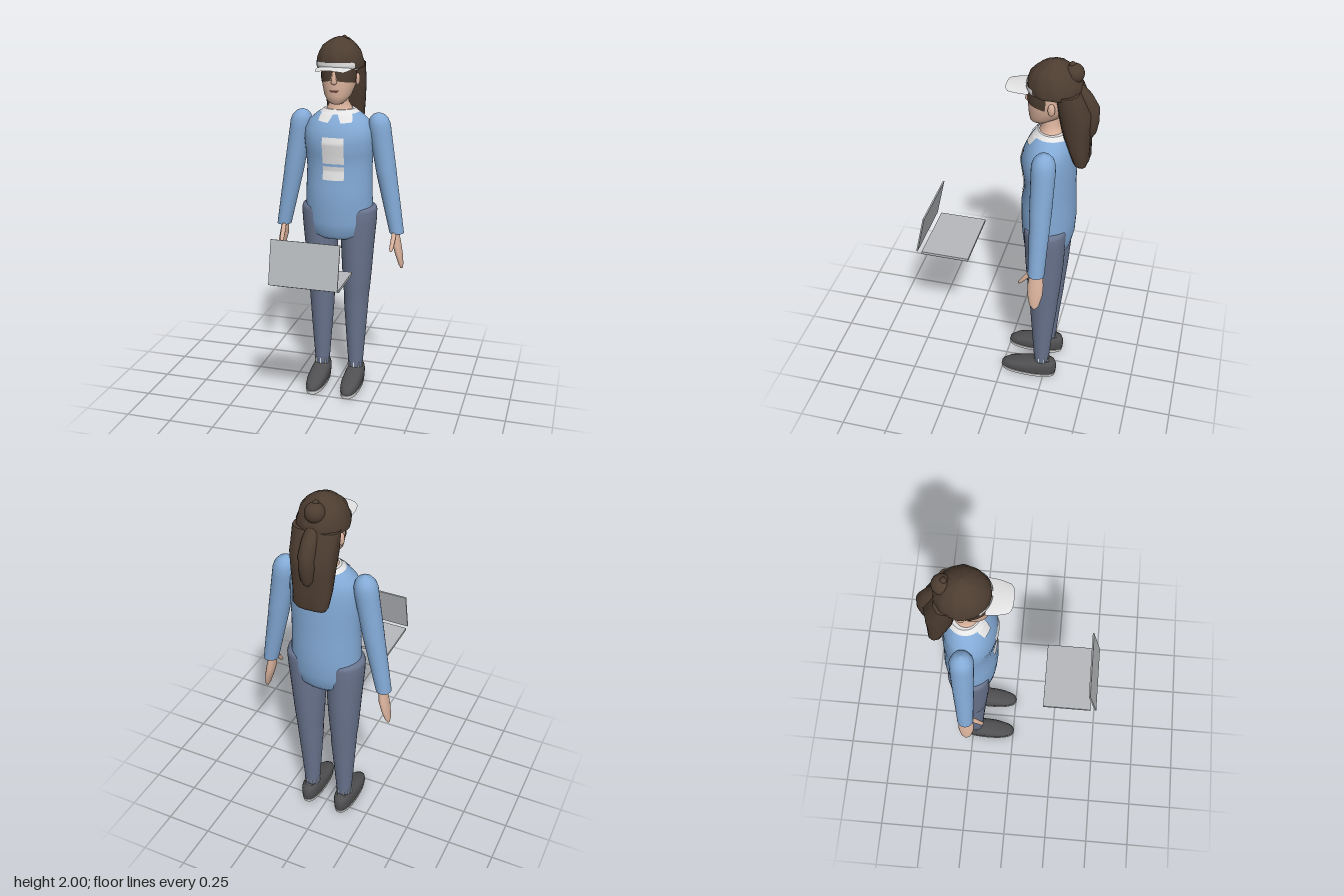
import * as THREE from 'three';

const mat = (name, color) => Object.assign(new THREE.MeshStandardMaterial({ color }), { name });

// Horizontal cross-sections, bottom to top: [y, centreX, zFront, zBack, halfWidth]
const TORSO = [
  [0.905, 0, -0.13, -0.33, 0.14], [0.93, 0, -0.1, -0.35, 0.172], [1.0, 0, -0.092, -0.365, 0.187],
  [1.1, 0, -0.085, -0.37, 0.188], [1.2, 0, -0.084, -0.365, 0.184], [1.3, 0, -0.1, -0.36, 0.182],
  [1.38, 0, -0.09, -0.36, 0.187], [1.45, 0, -0.079, -0.355, 0.192], [1.51, 0, -0.093, -0.35, 0.188],
  [1.56, 0, -0.115, -0.34, 0.165], [1.6, 0, -0.142, -0.32, 0.118], [1.615, 0, -0.16, -0.31, 0.085]];
const HEAD = [
  [1.655, 0, -0.135, -0.19, 0.028], [1.67, 0, -0.118, -0.22, 0.05], [1.7, 0, -0.111, -0.27, 0.072],
  [1.75, 0, -0.107, -0.32, 0.088], [1.8, 0, -0.107, -0.33, 0.092], [1.88, 0, -0.11, -0.33, 0.09],
  [1.94, 0, -0.15, -0.29, 0.06]];
const CAP = [
  [1.842, 0, -0.108, -0.368, 0.126], [1.86, 0, -0.103, -0.372, 0.128], [1.89, 0, -0.102, -0.368, 0.121],
  [1.925, 0, -0.115, -0.35, 0.11], [1.955, 0, -0.14, -0.325, 0.09], [1.98, 0, -0.175, -0.295, 0.058],
  [1.993, 0, -0.205, -0.265, 0.03], [2.0, 0, -0.23, -0.24, 0.006]];
const LEG = [
  [0.1, 0.1, -0.19, -0.272, 0.04], [0.3, 0.1, -0.175, -0.288, 0.055], [0.5, 0.1, -0.16, -0.308, 0.069],
  [0.565, 0.102, -0.157, -0.312, 0.071], [0.58, 0.102, -0.153, -0.314, 0.074], [0.7, 0.103, -0.142, -0.325, 0.083],
  [0.85, 0.105, -0.13, -0.335, 0.092], [1.0, 0.111, -0.124, -0.34, 0.099], [1.06, 0.113, -0.122, -0.342, 0.099],
  [1.08, 0.115, -0.13, -0.335, 0.092], [1.092, 0.115, -0.16, -0.3, 0.065]];
const ARM = [
  [0.942, 0.326, -0.192, -0.277, 0.04], [1.1, 0.296, -0.187, -0.283, 0.048], [1.26, 0.265, -0.181, -0.29, 0.055],
  [1.28, 0.262, -0.18, -0.291, 0.056], [1.5, 0.224, -0.175, -0.296, 0.061], [1.545, 0.219, -0.175, -0.295, 0.06],
  [1.575, 0.216, -0.185, -0.285, 0.05], [1.595, 0.214, -0.203, -0.267, 0.032], [1.605, 0.213, -0.23, -0.24, 0.005]];
const HAND = [
  [0.738, 0.359, -0.225, -0.245, 0.007], [0.76, 0.355, -0.208, -0.26, 0.013], [0.82, 0.342, -0.194, -0.274, 0.02],
  [0.88, 0.328, -0.193, -0.275, 0.024], [0.96, 0.318, -0.205, -0.265, 0.018]];
const THUMB = [
  [0.858, 0.315, -0.139, -0.147, 0.005], [0.87, 0.315, -0.14, -0.162, 0.011],
  [0.91, 0.317, -0.165, -0.197, 0.013], [0.95, 0.318, -0.19, -0.225, 0.012]];
const SHOE = [
  [0.018, 0.102, 0.002, -0.314, 0.051], [0.04, 0.102, 0.002, -0.319, 0.055], [0.06, 0.102, -0.025, -0.319, 0.055],
  [0.08, 0.102, -0.1, -0.317, 0.051], [0.098, 0.102, -0.165, -0.31, 0.044], [0.11, 0.102, -0.195, -0.29, 0.03]];
const SOLE = [[0, 0.102, 0.003, -0.312, 0.051], [0.02, 0.102, 0.006, -0.317, 0.054]];
const BACK_HAIR = [
  [1.455, 0, -0.37, -0.415, 0.075], [1.475, 0, -0.345, -0.425, 0.093], [1.55, 0, -0.315, -0.425, 0.1],
  [1.65, 0, -0.28, -0.425, 0.108], [1.75, 0, -0.26, -0.425, 0.117], [1.86, 0, -0.24, -0.37, 0.118]];
const PONYTAIL = [
  [1.6, 0, -0.39, -0.43, 0.018], [1.63, 0, -0.38, -0.448, 0.034], [1.7, 0, -0.37, -0.46, 0.042],
  [1.77, 0, -0.36, -0.456, 0.043], [1.83, 0, -0.34, -0.42, 0.038], [1.88, 0, -0.31, -0.37, 0.03]];

// Point on a section at an angle measured from the front towards +x
function ringPoint([y, cx, zf, zb, rx], a, off = 0, power = 2) {
  const s = Math.sin(a), c = Math.cos(a), e = 2 / power;
  return [cx + Math.sign(s) * Math.abs(s) ** e * (rx + off), y,
    (zf + zb) / 2 + Math.sign(c) * Math.abs(c) ** e * ((zf - zb) / 2 + off)];
}

function sectionAt(secs, y) {
  let i = 0;
  while (i < secs.length - 2 && secs[i + 1][0] < y) i++;
  const t = (y - secs[i][0]) / (secs[i + 1][0] - secs[i][0]);
  return secs[i].map((v, k) => v + (secs[i + 1][k] - v) * t);
}

function toGeometry(pos, idx) {
  const g = new THREE.BufferGeometry();
  g.setAttribute('position', new THREE.Float32BufferAttribute(pos, 3));
  g.setIndex(idx);
  g.computeVertexNormals();
  return g;
}

// Closed body through the sections, with flat ends
function loft(secs, { n = 36, power = 2, lump = 0 } = {}) {
  const pos = [], idx = [];
  const ring = (s, i) => {
    const start = pos.length / 3;
    for (let j = 0; j < n; j++) {
      const a = j / n * Math.PI * 2;
      pos.push(...ringPoint(s, a, lump * Math.sin(7 * a + i * 1.9) * Math.cos(4 * a - i), power));
    }
    return start;
  };
  secs.forEach(ring);
  for (let i = 0; i < secs.length - 1; i++) for (let j = 0; j < n; j++) {
    const a = i * n + j, b = i * n + (j + 1) % n;
    idx.push(a, b, b + n, a, b + n, a + n);
  }
  [0, secs.length - 1].forEach((i) => {
    const s = secs[i], r = ring(s, i), c = pos.length / 3;
    pos.push(s[1], s[0], (s[2] + s[3]) / 2);
    for (let j = 0; j < n; j++) {
      const k = r + (j + 1) % n;
      idx.push(...(i ? [c, r + j, k] : [c, k, r + j]));
    }
  });
  return toGeometry(pos, idx);
}

// Thin panel hugging a lofted body; corners are [angle, y]: bottom left, bottom right, top right, top left
function panel(secs, [bl, br, tr, tl], off, n = 16) {
  const pos = [], idx = [], mix = (a, b, t) => a + (b - a) * t;
  for (let i = 0; i <= n; i++) for (let j = 0; j <= n; j++) {
    const u = j / n, v = i / n;
    const a = mix(mix(bl[0], br[0], u), mix(tl[0], tr[0], u), v);
    const y = mix(mix(bl[1], br[1], u), mix(tl[1], tr[1], u), v);
    pos.push(...ringPoint(sectionAt(secs, y), a, off));
    if (i < n && j < n) {
      const p = i * (n + 1) + j, q = p + n + 1;
      idx.push(p, p + 1, q + 1, p, q + 1, q);
    }
  }
  return toGeometry(pos, idx);
}

export function createModel() {
  const model = new THREE.Group();
  const shirt = mat('shirtBlue', 0x83aad6), jeans = mat('jeansBlue', 0x69748e), skin = mat('skin', 0xdcb49e);
  const hair = mat('hairBrown', 0x4d3d31), white = mat('white', 0xe4e4e4), shoe = mat('shoeGrey', 0x505052);
  const metal = mat('laptopGrey', 0xb6b9bc), lips = mat('lips', 0x6a3f3a);
  white.side = hair.side = THREE.DoubleSide;

  const add = (name, geo, material, x = 0, y = 0, z = 0) => {
    const m = new THREE.Mesh(geo, material);
    m.name = name;
    m.position.set(x, y, z);
    model.add(m);
    return m;
  };
  const mirrored = (secs, s) => secs.map(([y, x, ...r]) => [y, x * s, ...r]);
  const onShirt = (x, y) => [Math.asin(x / sectionAt(TORSO, y)[4]), y];

  // Shirt with its prints and collar
  add('shirt', loft(TORSO, { n: 48 }), shirt);
  [[1.34, 1.485], [1.25, 1.325]].forEach(([y0, y1]) => add('shirtPrint',
    panel(TORSO, [onShirt(-0.058, y0), onShirt(0.058, y0), onShirt(0.058, y1), onShirt(-0.058, y1)], 0.004), white));
  add('collar', loft([[1.6, 0, -0.141, -0.322, 0.114], [1.622, 0, -0.16, -0.308, 0.085]]), white);

  // Neck, head and face
  add('neck', loft([[1.6, 0, -0.16, -0.3, 0.08], [1.632, 0, -0.17, -0.285, 0.066],
    [1.66, 0, -0.178, -0.268, 0.05], [1.74, 0, -0.175, -0.27, 0.05]]), skin);
  add('head', loft(HEAD), skin);
  add('nose', loft([[1.765, 0, -0.098, -0.12, 0.012], [1.775, 0, -0.089, -0.12, 0.016],
    [1.8, 0, -0.096, -0.12, 0.011], [1.84, 0, -0.104, -0.12, 0.007]], { n: 12 }), skin);
  add('mouth', panel(HEAD, [[-0.2, 1.722], [0.2, 1.722], [0.34, 1.734], [-0.34, 1.734]], 0.003), lips);

  // Hair
  add('hairCap', loft(CAP, { n: 56, lump: 0.004 }), hair);
  add('backHair', loft(BACK_HAIR, { power: 2.5, lump: 0.003 }), hair);
  add('ponytail', loft(PONYTAIL, { n: 20 }), hair);
  add('bun', new THREE.SphereGeometry(0.05, 24, 16), hair, 0, 1.938, -0.325);
  add('bunKnot', new THREE.SphereGeometry(0.016, 16, 10), hair, 0, 1.982, -0.315);

  // Sun visor: front band, strap and slightly arched brim
  add('visorBand', panel(CAP, [[-0.9, 1.846], [0.9, 1.846], [0.9, 1.878], [-0.9, 1.878]], 0.006), white);
  add('visorStrap', loft([[1.828, 0, -0.12, -0.335, 0.097], [1.844, 0, -0.12, -0.335, 0.1]]), white);
  const brim = new THREE.PlaneGeometry(2, 1, 20, 10), bp = brim.attributes.position;
  for (let i = 0; i < bp.count; i++) {
    const u = bp.getX(i), v = bp.getY(i) + 0.5;
    const reach = 0.125 - 0.02 * u ** 4;
    bp.setXYZ(i, u * (0.094 - 0.02 * (1 - v) ** 2), 1.857 - 0.01 * u * u - 0.006 * (1 - v), -0.125 + reach * (1 - v));
  }
  brim.computeVertexNormals();
  add('visorBrim', brim, white);

  for (const s of [1, -1]) {
    const side = s > 0 ? 'left' : 'right';
    const pair = (name, secs, material, opt) => add(side + name, loft(mirrored(secs, s), opt), material);
    const flip = (c) => (s > 0 ? c : [c[1], c[0], c[3], c[2]].map(([a, y]) => [-a, y]));
    add(side + 'CollarFlap', panel(TORSO, flip([onShirt(0.035, 1.558), onShirt(0.09, 1.565),
      onShirt(0.075, 1.606), onShirt(0.012, 1.602)]), 0.005), white);
    // Fringe over the brow, parted at the nose
    add(side + 'Fringe', panel(HEAD, flip([[0.2, 1.782], [1.5, 1.765], [1.5, 1.86], [0, 1.86]]), 0.004), hair);
    add(side + 'Ear', new THREE.SphereGeometry(1, 16, 12), skin, s * 0.095, 1.778, -0.24).scale.set(0.012, 0.033, 0.018);

    pair('Sleeve', ARM, shirt, { n: 28 });
    pair('Hand', HAND, skin, { n: 20 });
    pair('Thumb', THUMB, skin, { n: 12 });
    pair('TrouserLeg', LEG, jeans);
    pair('Shoe', SHOE, shoe, { power: 2.4 });
    pair('Sole', SOLE, white, { power: 2.4 });
    // Frayed threads at the hem
    for (let k = 0; k < 9; k++) {
      const [x, y, z] = ringPoint([0.122, s * 0.1, -0.189, -0.273, 0.042], k / 9 * Math.PI * 2, 0.001);
      add(side + 'HemThread', new THREE.BoxGeometry(0.004, 0.036, 0.004), white, x, y, z);
    }
  }

  // Open laptop
  add('laptopBase', new THREE.BoxGeometry(0.36, 0.015, 0.26), metal, 0, 0.832, 0.302);
  add('laptopLid', new THREE.BoxGeometry(0.36, 0.232, 0.008), metal, 0, 0.951, 0.434).rotation.x = -0.215;
  return model;
}
